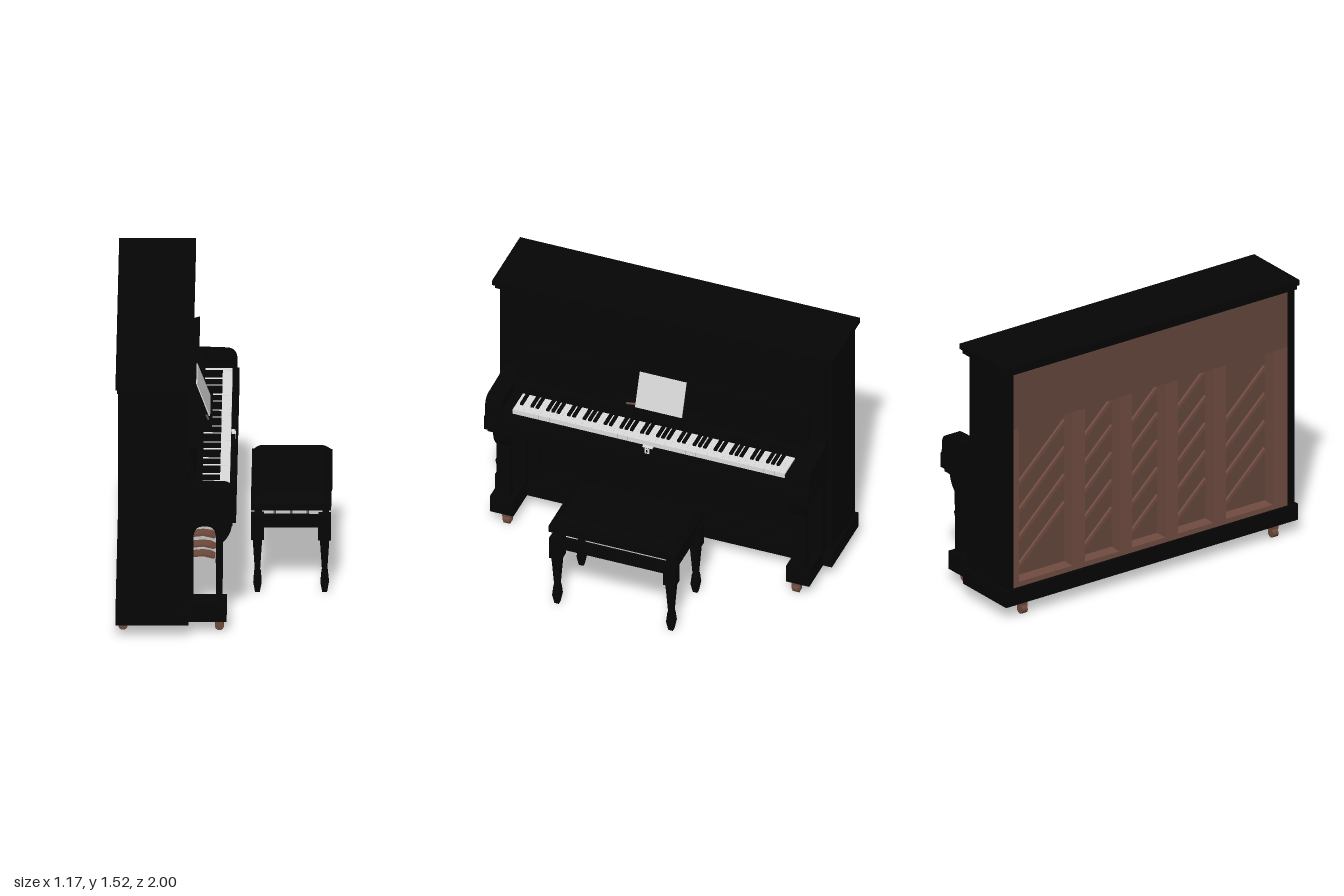
import * as THREE from 'three';

const mat = (name, color) => {
  const m = new THREE.MeshStandardMaterial({ color });
  m.name = name;
  return m;
};

export function createModel() {
  const black = mat('black lacquer', 0x050505);
  const ivory = mat('ivory', 0xdedede);
  const paper = mat('paper', 0xd2d2d2);
  const board = mat('soundboard brown', 0x63463b);
  const post = mat('timber brown', 0x704c40);
  const copper = mat('copper', 0x6e4a3c);

  const root = new THREE.Group();
  root.name = 'pianoAndBench';
  const group = (name) => {
    const g = new THREE.Group();
    g.name = name;
    root.add(g);
    return g;
  };
  const add = (parent, name, geo, m) => {
    const mesh = new THREE.Mesh(geo, m);
    mesh.name = name;
    parent.add(mesh);
    return mesh;
  };
  // Box given by its limits on each axis
  const box = (parent, name, m, x0, x1, y0, y1, z0, z1) => {
    const b = add(parent, name, new THREE.BoxGeometry(x1 - x0, y1 - y0, z1 - z0), m);
    b.position.set((x0 + x1) / 2, (y0 + y1) / 2, (z0 + z1) / 2);
    return b;
  };
  // Square frustum with full widths at bottom and top
  const frustum = (parent, name, m, x, z, y0, y1, wx0, wz0, wx1, wz1) => {
    const geo = new THREE.BoxGeometry(1, y1 - y0, 1);
    const p = geo.attributes.position;
    for (let i = 0; i < p.count; i++) {
      const top = p.getY(i) > 0;
      p.setX(i, p.getX(i) * (top ? wx1 : wx0));
      p.setZ(i, p.getZ(i) * (top ? wz1 : wz0));
    }
    geo.computeVertexNormals();
    const f = add(parent, name, geo, m);
    f.position.set(x, (y0 + y1) / 2, z);
  };
  // Round bar between two points
  const bar = (parent, name, m, a, b, r) => {
    const A = new THREE.Vector3(...a), B = new THREE.Vector3(...b);
    const c = add(parent, name, new THREE.CylinderGeometry(r, r, A.distanceTo(B), 8), m);
    c.position.copy(A).add(B).multiplyScalar(0.5);
    c.quaternion.setFromUnitVectors(new THREE.Vector3(0, 1, 0), B.sub(A).normalize());
  };
  // Side profile (in x and y) pulled along z
  const slab = (parent, name, m, shape, z0, z1) => {
    const geo = new THREE.ExtrudeGeometry(shape, { depth: z1 - z0, bevelEnabled: false, curveSegments: 8 });
    add(parent, name, geo, m).position.z = z0;
  };
  const polygon = (pts) => new THREE.Shape(pts.map((p) => new THREE.Vector2(...p)));

  // Cabinet
  const cab = group('cabinet');
  box(cab, 'core', black, -0.485, -0.215, 0.1, 1.48, -0.94, 0.94);
  box(cab, 'plinth', black, -0.59, -0.19, 0.08, 0.175, -0.99, 0.99);
  box(cab, 'lid', black, -0.59, -0.168, 1.49, 1.52, -1, 1);
  box(cab, 'lidMoulding', black, -0.582, -0.18, 1.465, 1.49, -0.988, 0.988);
  for (const s of [-1, 1]) {
    const span = (name, x0, x1, y0, y1, a, b) =>
      box(cab, name, black, x0, x1, y0, y1, Math.min(s * a, s * b), Math.max(s * a, s * b));
    span('side', -0.575, -0.228, 0.1, 1.47, 0.93, 0.975);
    span('upperStile', -0.23, -0.2, 0.9, 1.47, 0.84, 0.945);
    span('upperDivider', -0.22, -0.205, 1.09, 1.4, 0.37, 0.42);
    span('lowerPilaster', -0.23, -0.165, 0.17, 0.69, 0.8, 0.945);
    span('lowerStile', -0.22, -0.2, 0.17, 0.69, 0.73, 0.8);
  }
  box(cab, 'upperTopRail', black, -0.22, -0.203, 1.38, 1.47, -0.85, 0.85);
  box(cab, 'upperBottomRail', black, -0.22, -0.203, 1.04, 1.11, -0.85, 0.85);
  box(cab, 'lowerBottomRail', black, -0.22, -0.2, 0.17, 0.25, -0.75, 0.75);
  box(cab, 'lowerTopRail', black, -0.22, -0.2, 0.62, 0.69, -0.75, 0.75);

  // Back: soundboard, upper plank, posts, diagonal ribs
  const back = group('back');
  box(back, 'soundboard', board, -0.495, -0.486, 0.17, 1.47, -0.93, 0.93);
  box(back, 'upperPlank', board, -0.572, -0.49, 1.13, 1.465, -0.93, 0.93);
  box(back, 'sill', post, -0.572, -0.49, 0.17, 0.205, -0.93, 0.93);
  const posts = [-0.91, -0.485, -0.165, 0.145, 0.47, 0.88];
  const halves = [0.02, 0.042, 0.042, 0.042, 0.042, 0.05];
  posts.forEach((z, i) => box(back, 'post', post, -0.573, -0.49, 0.2, 1.13, z - halves[i], z + halves[i]));
  for (let i = 0; i < 5; i++) {
    const z0 = posts[i] + halves[i], z1 = posts[i + 1] - halves[i + 1], w = z1 - z0;
    for (let y = 0.22; y + w * 0.95 < 1.13; y += 0.165) {
      const rib = box(back, 'rib', post, -0.51, -0.49, -0.01, 0.01, -w * 0.68, w * 0.68);
      rib.position.set(-0.502, y + w * 0.475, (z0 + z1) / 2);
      rib.rotation.x = -Math.atan(0.95);
    }
  }

  // Key bed, cheeks, legs and toes
  const bed = group('keyBed');
  box(bed, 'keyBedBoard', black, -0.22, 0.07, 0.68, 0.765, -0.955, 0.955);
  box(bed, 'underBed', black, -0.22, 0.05, 0.655, 0.68, -0.94, 0.94);
  box(bed, 'keySlip', black, 0.034, 0.058, 0.765, 0.803, -0.87, 0.87);
  box(bed, 'keyFrame', black, -0.2, 0.034, 0.765, 0.798, -0.87, 0.87);
  box(bed, 'fallboard', black, -0.21, -0.122, 0.79, 0.885, -0.87, 0.87);
  box(bed, 'fallboardLip', black, -0.21, -0.115, 0.882, 0.895, -0.87, 0.87);
  box(bed, 'lockPlate', ivory, 0.054, 0.061, 0.768, 0.802, -0.013, 0.013);
  box(bed, 'keyhole', black, 0.06, 0.063, 0.778, 0.792, -0.004, 0.004);
  box(bed, 'lockTop', ivory, 0.036, 0.057, 0.802, 0.806, -0.03, 0.03);

  const cheek = new THREE.Shape();
  cheek.moveTo(-0.23, 0.76);
  cheek.lineTo(0.06, 0.76);
  cheek.lineTo(0.058, 0.83);
  cheek.quadraticCurveTo(0.052, 0.887, 0.0, 0.888);
  cheek.lineTo(-0.15, 0.893);
  cheek.quadraticCurveTo(-0.195, 0.895, -0.2, 0.95);
  cheek.lineTo(-0.23, 0.97);

  const leg = new THREE.Shape();
  leg.moveTo(-0.04, 0.18);
  leg.lineTo(-0.005, 0.18);
  leg.lineTo(-0.002, 0.545);
  leg.quadraticCurveTo(0.045, 0.59, 0.05, 0.67);
  leg.lineTo(-0.19, 0.67);
  leg.lineTo(-0.19, 0.55);
  leg.lineTo(-0.165, 0.55);
  leg.quadraticCurveTo(-0.165, 0.635, -0.12, 0.638);
  leg.lineTo(-0.085, 0.638);
  leg.quadraticCurveTo(-0.04, 0.635, -0.04, 0.56);

  for (const s of [-1, 1]) {
    slab(bed, 'cheek', black, cheek, s * 0.905 - 0.048, s * 0.905 + 0.048);
    box(bed, 'keyBlock', black, -0.13, 0.035, 0.76, 0.83, s * 0.833 - 0.03, s * 0.833 + 0.03);
    slab(bed, 'frontLeg', black, leg, s * 0.87 - 0.04, s * 0.87 + 0.04);
    frustum(bed, 'legCollar', black, -0.022, s * 0.87, 0.4, 0.43, 0.036, 0.084, 0.04, 0.09);
    box(bed, 'toe', black, -0.23, 0.018, 0.08, 0.188, s * 0.87 - 0.068, s * 0.87 + 0.068);
  }

  // Keys: the lowest note is at +z
  const keys = group('keyboard');
  const kw = 1.6 / 52;
  for (let i = 0; i < 52; i++) {
    const z = 0.8 - i * kw;
    box(keys, 'whiteKey', ivory, -0.122, 0.034, 0.797, 0.832, z - kw + 0.0002, z - 0.0002);
    if (i < 51 && [0, 2, 3, 5, 6].includes(i % 7))
      box(keys, 'blackKey', black, -0.122, -0.02, 0.82, 0.844, z - kw - 0.009, z - kw + 0.009);
  }

  // Music desk
  const desk = group('musicDesk');
  slab(desk, 'slopedPanel', black, polygon([[-0.167, 0.885], [-0.148, 0.885], [-0.186, 1.08], [-0.205, 1.08]]), -0.86, 0.86);
  slab(desk, 'deskTop', black, polygon([[-0.21, 1.07], [-0.145, 1.095], [-0.145, 1.11], [-0.21, 1.09]]), -0.87, 0.87);
  box(desk, 'shelf', black, -0.175, -0.068, 0.942, 0.954, -0.25, 0.25);
  slab(desk, 'sheetMusic', paper, polygon([[-0.088, 0.954], [-0.08, 0.954], [-0.151, 1.145], [-0.157, 1.145]]), -0.15, 0.125);
  bar(desk, 'pencil', copper, [-0.1, 0.96, 0.13], [-0.09, 0.96, 0.18], 0.006);

  // Pedals
  const pedals = group('pedals');
  const pedal = polygon([[-0.21, 0.125], [-0.12, 0.135], [-0.06, 0.12], [-0.05, 0.128], [-0.075, 0.142], [-0.12, 0.148], [-0.21, 0.138]]);
  for (const z of [-0.135, 0.01, 0.14]) slab(pedals, 'pedal', copper, pedal, z - 0.035, z + 0.035);

  // Casters
  const casters = group('casters');
  for (const x of [-0.55, -0.022]) for (const z of [-0.85, 0.85]) {
    const wheel = add(casters, 'wheel', new THREE.CylinderGeometry(0.025, 0.025, 0.036, 16), copper);
    wheel.rotation.x = Math.PI / 2;
    wheel.position.set(x, 0.025, z);
    for (const s of [-1, 1]) box(casters, 'fork', copper, x - 0.01, x + 0.014, 0.02, 0.07, z + s * 0.022 - 0.004, z + s * 0.022 + 0.004);
    box(casters, 'forkTop', copper, x - 0.012, x + 0.018, 0.048, 0.074, z - 0.026, z + 0.026);
    bar(casters, 'stem', copper, [x + 0.004, 0.065, z], [x + 0.004, 0.085, z], 0.014);
  }

  // Bench
  const bench = group('bench');
  const cx = 0.365;
  box(bench, 'seatFrame', black, 0.145, 0.585, 0.5, 0.538, -0.375, 0.375);
  frustum(bench, 'cushionSide', black, cx, 0, 0.538, 0.571, 0.43, 0.74, 0.37, 0.68);
  frustum(bench, 'cushionTop', black, cx, 0, 0.571, 0.582, 0.37, 0.68, 0.34, 0.65);
  for (const s of [-1, 1]) {
    box(bench, 'longApron', black, cx + s * 0.19 - 0.012, cx + s * 0.19 + 0.012, 0.385, 0.458, -0.33, 0.33);
    box(bench, 'shortApron', black, 0.18, 0.55, 0.385, 0.458, s * 0.335 - 0.012, s * 0.335 + 0.012);
    for (const t of [-1, 1]) {
      const x = cx + s * 0.184, z = t * 0.335;
      box(bench, 'legBlock', black, x - 0.035, x + 0.035, 0.32, 0.46, z - 0.035, z + 0.035);
      frustum(bench, 'legTaper', black, x, z, 0.125, 0.32, 0.028, 0.028, 0.052, 0.052);
      frustum(bench, 'legFoot', black, x, z, 0.06, 0.125, 0.046, 0.046, 0.034, 0.034);
      frustum(bench, 'legTip', black, x, z, 0, 0.06, 0.026, 0.026, 0.046, 0.046);
      // Height mechanism arms
      bar(bench, 'liftArm', copper, [cx + s * 0.09, 0.44, t * 0.32], [cx + s * 0.09, 0.502, t * 0.21], 0.007);
    }
    bar(bench, 'liftAxle', copper, [0.27, 0.44, s * 0.31], [0.46, 0.44, s * 0.31], 0.007);
  }
  bar(bench, 'liftScrew', copper, [cx, 0.44, -0.31], [cx, 0.44, 0.31], 0.007);

  return root;
}
